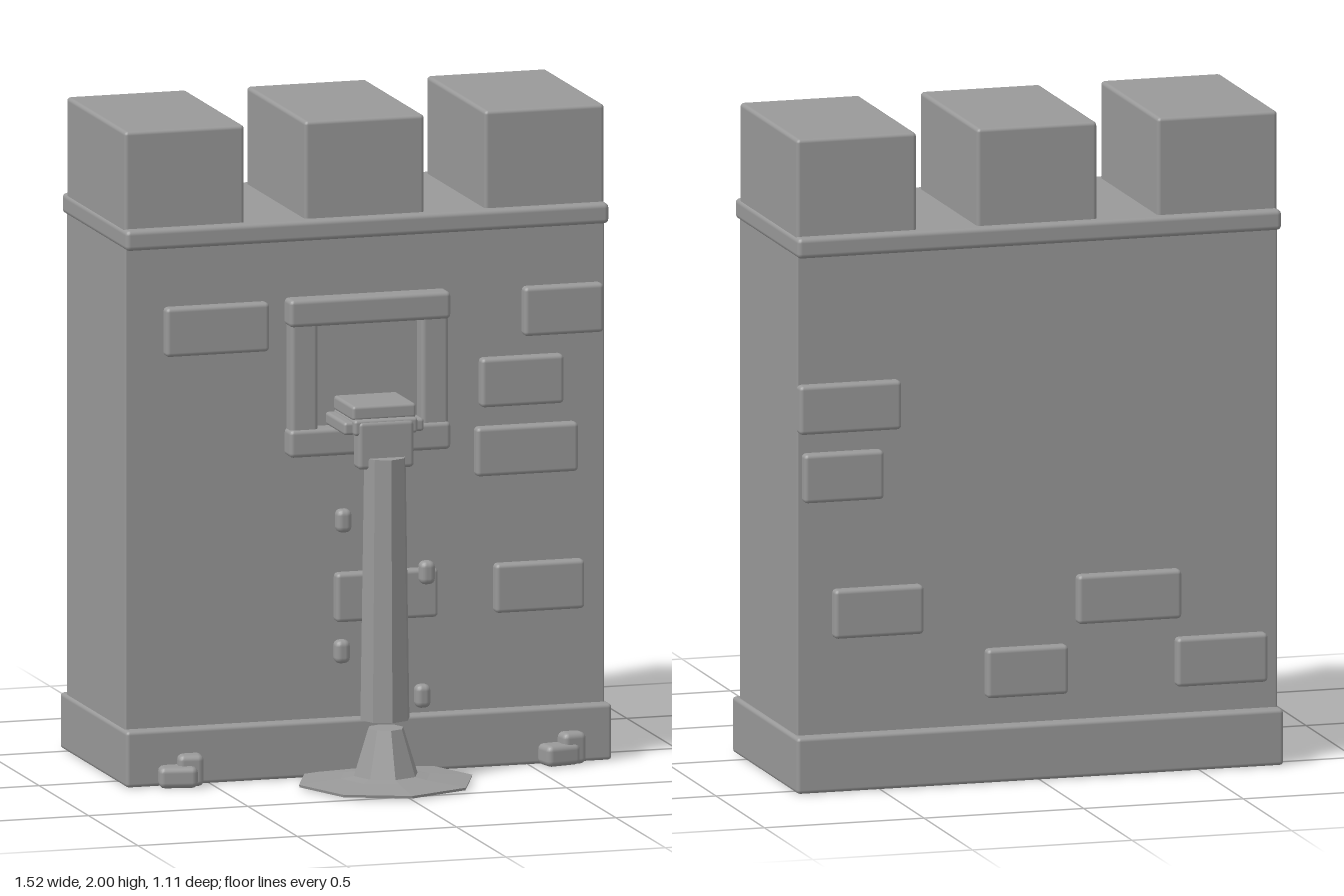
import * as THREE from 'three';
import { RoundedBoxGeometry } from 'three/addons/geometries/RoundedBoxGeometry.js';

const stone = new THREE.MeshStandardMaterial({ color: 0x999999 });
stone.name = 'stoneGrey';
const facetedStone = stone.clone();
facetedStone.flatShading = true;

export function createModel() {
  const model = new THREE.Group();
  model.name = 'fountainWall';

  function add(name, geometry, material = stone) {
    const mesh = new THREE.Mesh(geometry, material);
    mesh.name = name;
    model.add(mesh);
    return mesh;
  }

  // Softly bevelled block given by its extents on each axis
  function block(name, [x0, x1], [y0, y1], [z0, z1], bevel = 0.01) {
    const mesh = add(name, new RoundedBoxGeometry(x1 - x0, y1 - y0, z1 - z0, 2, bevel));
    mesh.position.set((x0 + x1) / 2, (y0 + y1) / 2, (z0 + z1) / 2);
    return mesh;
  }

  // Wall, plinth, string course and battlements
  block('wall', [-0.755, 0.75], [0.1, 1.69], [-0.513, 0.08], 0.006);
  block('plinth', [-0.763, 0.762], [0.005, 0.177], [-0.555, 0.12], 0.012);
  block('stringCourse', [-0.76, 0.757], [1.64, 1.703], [-0.547, 0.11], 0.015);
  for (const x of [-0.567, -0.002, 0.563])
    block('merlon', [x - 0.188, x + 0.188], [1.68, 2], [-0.515, 0.078], 0.012);

  // Raised bricks: centre x, centre y, width
  const frontBricks = [
    [-0.472, 1.385, 0.325], [0.615, 1.385, 0.25], [0.485, 1.175, 0.26],
    [0.5, 0.965, 0.32], [0.54, 0.545, 0.28], [0.06, 0.545, 0.32],
  ];
  const backBricks = [
    [0.59, 1.175, 0.32], [0.61, 0.965, 0.25], [0.5, 0.545, 0.28],
    [-0.285, 0.545, 0.325], [0.035, 0.335, 0.255], [-0.575, 0.335, 0.285],
  ];
  for (const [x, y, w] of frontBricks)
    block('frontBrick', [x - w / 2, x + w / 2], [y - 0.075, y + 0.075], [0.06, 0.112], 0.013);
  for (const [x, y, w] of backBricks)
    block('backBrick', [x - w / 2, x + w / 2], [y - 0.075, y + 0.075], [-0.545, -0.49], 0.013);

  // Niche frame
  block('frameTop', [-0.254, 0.252], [1.383, 1.467], [0.06, 0.137], 0.014);
  block('frameBottom', [-0.254, 0.252], [0.985, 1.07], [0.06, 0.137], 0.014);
  for (const s of [-1, 1]) {
    block('frameSide', [s * 0.205 - 0.043, s * 0.205 + 0.043], [1.05, 1.4], [0.06, 0.128], 0.014);
  }

  // Spout with its side rails and bent-over lip
  block('spoutTop', [-0.1, 0.1], [1.115, 1.16], [0.075, 0.272]);
  block('spoutBed', [-0.1, 0.1], [1.072, 1.12], [0.075, 0.29]);
  for (const s of [-1, 1])
    block('spoutRail', [s * 0.108 - 0.018, s * 0.108 + 0.018], [1.072, 1.112], [0.075, 0.27]);
  block('spoutLip', [-0.088, 0.088], [0.968, 1.115], [0.232, 0.295], 0.014);

  // Falling stream: tapered octagonal column
  const stream = add('stream', new THREE.CylinderGeometry(0.065, 0.077, 0.8, 8), facetedStone);
  stream.position.set(0, 0.603, 0.275);

  // Splash cone and octagonal puddle
  const profile = [[0, 0.01], [0.27, 0.01], [0.272, 0.018], [0.14, 0.029],
    [0.1, 0.035], [0.055, 0.177], [0, 0.177]].map(([r, y]) => new THREE.Vector2(r, y));
  const splash = add('splash', new THREE.LatheGeometry(profile, 8), facetedStone);
  splash.position.z = 0.283;

  // Droplets beside the stream
  for (const [x, y] of [[-0.13, 0.815], [0.132, 0.642], [-0.135, 0.416], [0.118, 0.266]])
    block('droplet', [x - 0.024, x + 0.024], [y - 0.036, y + 0.036], [0.248, 0.296], 0.019);

  // Small stones at the foot of the plinth
  block('leftwardStone', [0.532, 0.645], [0.005, 0.07], [0.1, 0.18], 0.018).rotation.y = 0.2;
  block('leftwardTallStone', [0.592, 0.668], [0.005, 0.102], [0.09, 0.163], 0.018).rotation.y = 0.15;
  block('rightwardStone', [-0.667, -0.55], [0.005, 0.07], [0.1, 0.18], 0.018).rotation.y = -0.2;
  block('rightwardTallStone', [-0.605, -0.527], [0.005, 0.102], [0.09, 0.163], 0.018).rotation.y = -0.15;

  return model;
}
